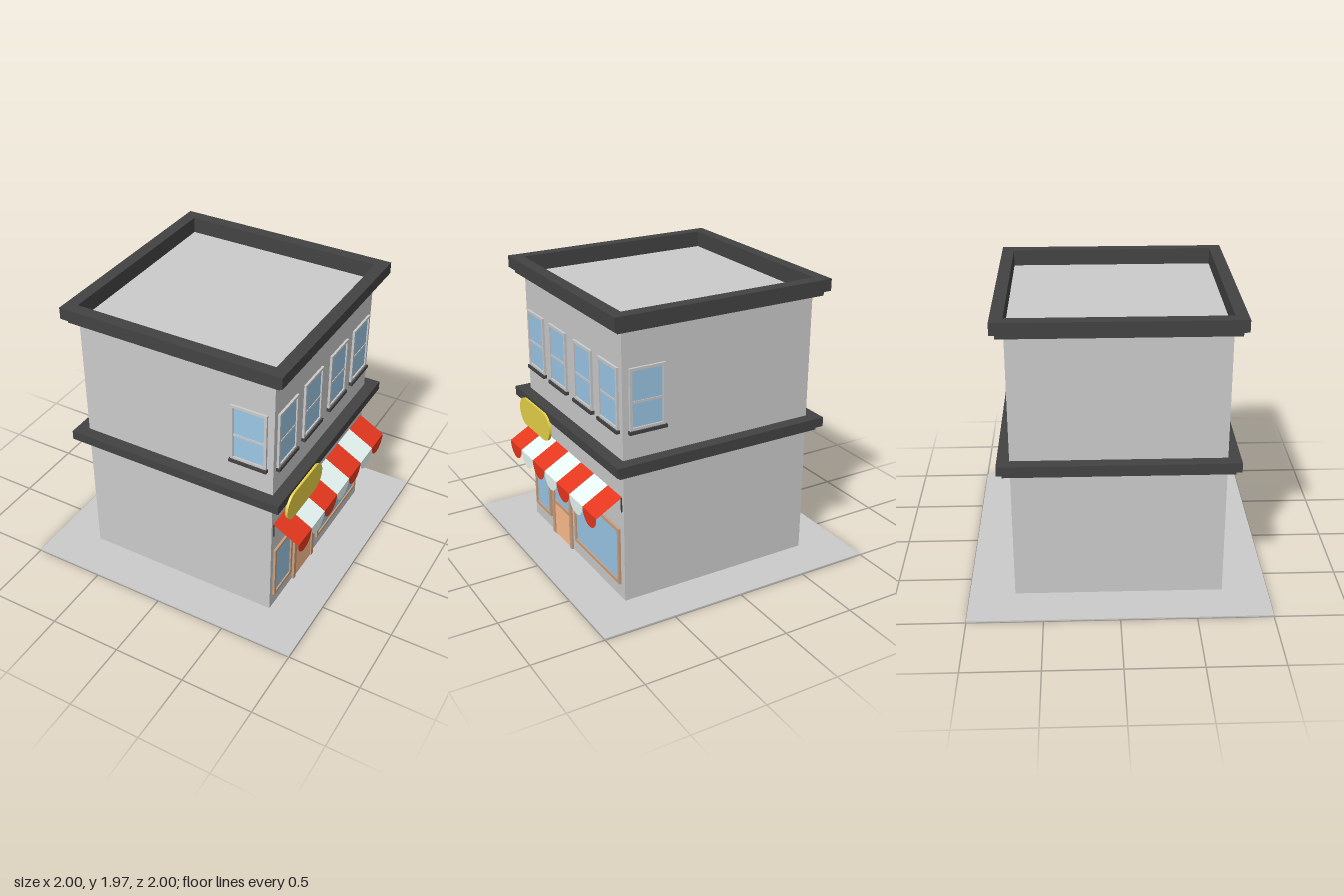
import * as THREE from 'three';

const mat = (color, side = THREE.FrontSide) => new THREE.MeshStandardMaterial({ color, side });
const grey = mat(0xcccccc), dark = mat(0x434343), glass = mat(0x9bc7e6);
const wood = mat(0xcba07d), doorWood = mat(0xffbe8f), yellow = mat(0xe6d248);
const red = mat(0xe6371e, THREE.DoubleSide), white = mat(0xe8f8f4, THREE.DoubleSide);
const WALL = 0.695;

function add(parent, name, geometry, material, x = 0, y = 0, z = 0) {
  const mesh = new THREE.Mesh(geometry, material);
  mesh.name = name;
  mesh.position.set(x, y, z);
  parent.add(mesh);
  return mesh;
}

// box given by its horizontal centre and its bottom
const box = (parent, name, m, w, h, d, x, y, z) =>
  add(parent, name, new THREE.BoxGeometry(w, h, d), m, x, y + h / 2, z);

function rect(x0, y0, x1, y1, Type = THREE.Shape) {
  const s = new Type();
  s.moveTo(x0, y0).lineTo(x1, y0).lineTo(x1, y1).lineTo(x0, y1).closePath();
  return s;
}

// round-topped outline standing on y0
function arch(r, y0, springY, Type = THREE.Shape) {
  const s = new Type();
  s.moveTo(-r, y0).lineTo(r, y0).lineTo(r, springY);
  s.absarc(0, springY, r, 0, Math.PI, false);
  s.closePath();
  return s;
}

const extrude = (shape, depth) =>
  new THREE.ExtrudeGeometry(shape, { depth, bevelEnabled: false, curveSegments: 20 });

// a group whose local +z points out of the wall, with z = 0 on the wall surface
function wallGroup(parent, name, angle) {
  const g = new THREE.Group();
  g.name = name;
  g.rotation.y = angle;
  g.position.set(Math.sin(angle) * WALL, 0, Math.cos(angle) * WALL);
  parent.add(g);
  return g;
}

// framed pane, x = centre, y = bottom
function framedPane(parent, name, m, x, y, w, h, border) {
  const g = new THREE.Group();
  g.name = name;
  g.position.set(x, y, 0);
  parent.add(g);
  const outline = rect(-w / 2, 0, w / 2, h);
  outline.holes.push(rect(-w / 2 + border, border, w / 2 - border, h - border, THREE.Path));
  add(g, 'frame', extrude(outline, 0.016), m);
  box(g, 'glass', glass, w - 2 * border, h - 2 * border, 0.006, 0, border, 0.003);
  return g;
}

// upper-floor sash window with a sill
function sashWindow(parent, x) {
  const g = framedPane(parent, 'sashWindow', grey, x, 1.205, 0.25, 0.405, 0.018);
  box(g, 'crossBar', grey, 0.214, 0.016, 0.01, 0, 0.175, 0.005);
  box(g, 'sill', dark, 0.265, 0.022, 0.027, 0, -0.022, 0.0135);
}

// square ring lying flat
function ring(parent, name, half, y, h) {
  const s = rect(-half, -half, half, half);
  s.holes.push(rect(-WALL, -WALL, WALL, WALL, THREE.Path));
  add(parent, name, extrude(s, h), dark, 0, y, 0).rotation.x = -Math.PI / 2;
}

export function createModel() {
  const model = new THREE.Group();
  model.name = 'cornerShop';

  // ground slab, walls and cornices
  box(model, 'groundSlab', grey, 2, 0.01, 2, 0, 0, 0);
  box(model, 'walls', grey, 2 * WALL, 1.85, 2 * WALL, 0, 0.01, 0);
  for (const [name, y, low, high] of [['floorCornice', 0.918, 0.03, 0.064], ['roofCornice', 1.855, 0.035, 0.08]]) {
    ring(model, name + 'Lower', 0.745, y, low);
    ring(model, name + 'Upper', 0.777, y + low, high);
  }

  // upper windows: four on the shop side, one each at front and back
  const shop = wallGroup(model, 'shopSide', Math.PI / 2);
  for (const x of [-0.53, -0.185, 0.185, 0.53]) sashWindow(shop, x);
  sashWindow(wallGroup(model, 'frontSide', 0), 0.525);
  sashWindow(wallGroup(model, 'backSide', Math.PI), -0.525);

  // display windows
  framedPane(shop, 'smallShopWindow', wood, -0.532, 0.11, 0.255, 0.405, 0.022);
  framedPane(shop, 'largeShopWindow', wood, 0.318, 0.11, 0.655, 0.405, 0.022);

  // arched door
  const door = new THREE.Group();
  door.name = 'door';
  door.position.x = -0.215;
  shop.add(door);
  const surround = arch(0.152, 0.01, 0.415);
  surround.holes.push(arch(0.12, 0.01, 0.415, THREE.Path));
  add(door, 'doorFrame', extrude(surround, 0.016), wood);
  add(door, 'doorGlass', extrude(arch(0.12, 0.27, 0.415), 0.005), glass);
  box(door, 'doorPanel', doorWood, 0.24, 0.245, 0.008, 0, 0.01, 0.004);
  box(door, 'doorRail', wood, 0.24, 0.025, 0.012, 0, 0.255, 0.006);

  // striped awning with a scalloped valance
  const awning = new THREE.Group();
  awning.name = 'awning';
  shop.add(awning);
  const stripe = 1.35 / 7, reach = 0.183, drop = 0.103, r = stripe / 2;
  const slope = new THREE.PlaneGeometry(stripe, Math.hypot(reach, drop));
  slope.rotateX(-Math.atan2(reach, drop));
  const scallop = new THREE.Shape();
  scallop.moveTo(r, 0).lineTo(-r, 0);
  scallop.absarc(0, 0, r, Math.PI, 2 * Math.PI, false);
  const valance = new THREE.ShapeGeometry(scallop, 20);
  for (let i = 0; i < 7; i++) {
    const m = i % 2 ? white : red, x = (i - 3) * stripe;
    add(awning, 'awningStripe', slope, m, x, 0.753 - drop / 2, reach / 2);
    add(awning, 'awningScallop', valance, m, x, 0.65, reach);
  }
  for (const side of [-1, 1]) box(awning, 'awningBracket', dark, 0.006, 0.1, 0.008, side * 0.672, 0.65, 0.004);

  // blank rounded sign fixed to the cornice
  const sign = new THREE.Shape();
  sign.absarc(0.148, 0, 0.1, -Math.PI / 2, Math.PI / 2, false);
  sign.absarc(-0.148, 0, 0.1, Math.PI / 2, Math.PI * 1.5, false);
  sign.closePath();
  add(shop, 'signBoard', extrude(sign, 0.018), yellow, -0.427, 0.89, 0.775 - WALL);

  return model;
}
